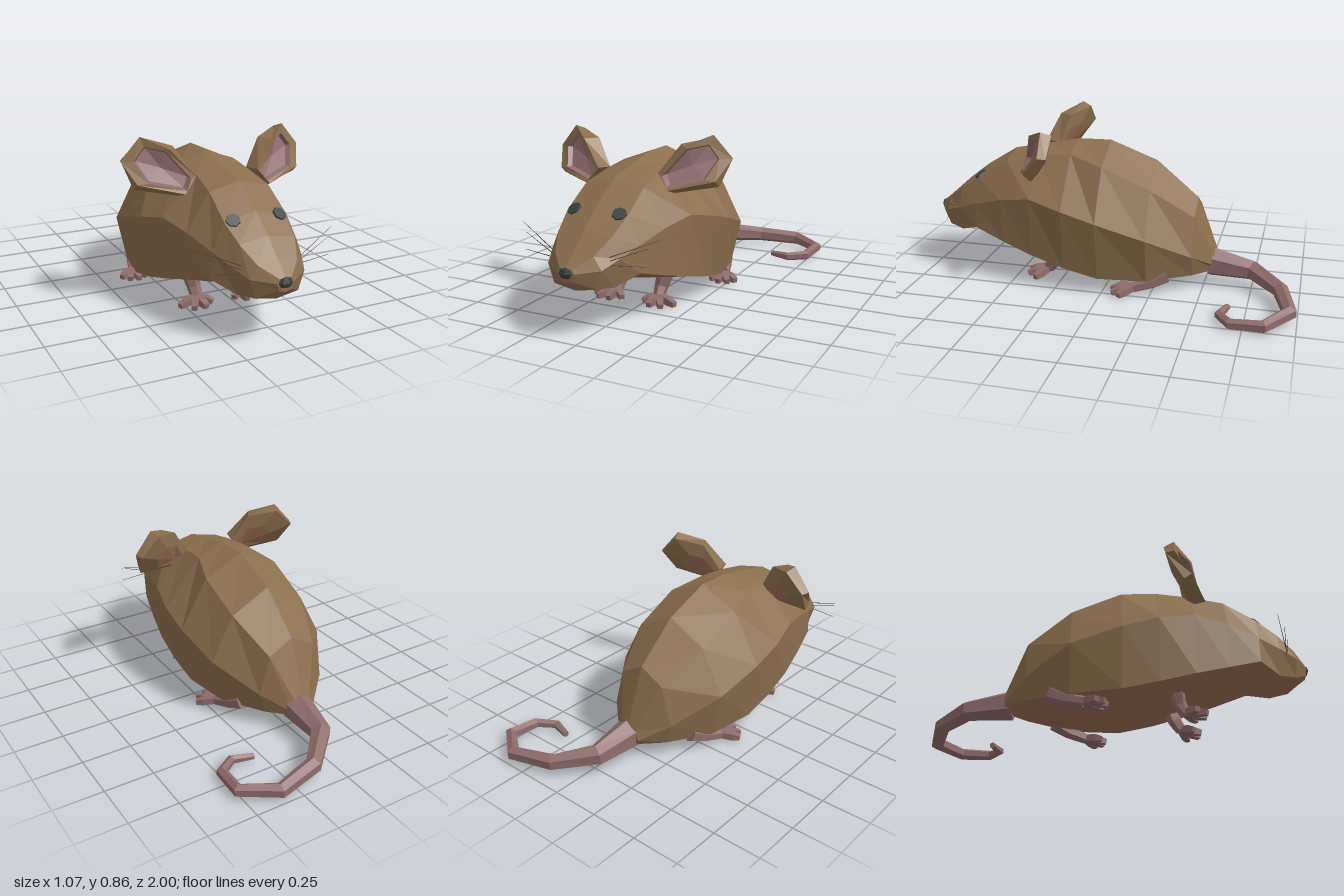
import * as THREE from 'three';

const mat = (name, color) => {
  const m = new THREE.MeshStandardMaterial({ color, flatShading: true });
  m.name = name;
  return m;
};
const V = (x, y, z) => new THREE.Vector3(x, y, z);

// Skin a list of equally long rings of points with quads
function loft(rings, closed = false) {
  const pos = [];
  for (let i = 0; i < rings.length - 1; i++) {
    const p = rings[i], q = rings[i + 1], n = p.length;
    for (let j = 0; j < (closed ? n : n - 1); j++) {
      const k = (j + 1) % n;
      for (const v of [p[j], p[k], q[k], p[j], q[k], q[j]]) pos.push(v.x, v.y, v.z);
    }
  }
  const g = new THREE.BufferGeometry();
  g.setAttribute('position', new THREE.Float32BufferAttribute(pos, 3));
  g.computeVertexNormals();
  return g;
}

// Faceted tapering tube through points, closed at both ends
function limb(points, radii, sides = 6) {
  const n = points.length;
  const axis = points[n - 1].clone().sub(points[0]).normalize();
  const ref = Math.abs(axis.y) > 0.75 ? V(0, 0, 1) : V(0, 1, 0);
  const rings = points.map((p, i) => {
    const t = points[Math.min(i + 1, n - 1)].clone().sub(points[Math.max(i - 1, 0)]).normalize();
    const side = ref.clone().cross(t).normalize();
    const up = t.clone().cross(side);
    return Array.from({ length: sides }, (_, j) => {
      const a = ((j + 0.5) / sides) * Math.PI * 2;
      return p.clone().addScaledVector(side, Math.cos(a) * radii[i]).addScaledVector(up, Math.sin(a) * radii[i]);
    });
  });
  rings.unshift(Array(sides).fill(points[0]));
  rings.push(Array(sides).fill(points[n - 1]));
  return loft(rings, true);
}

export function createModel() {
  const fur = mat('brown fur', 0x8b6f4e);
  const belly = mat('reddish fur', 0x9c6e57);
  const skin = mat('pink skin', 0x8f6d6b);
  const inner = mat('inner ear pink', 0x906d6e);
  const dark = mat('dark grey', 0x3a3f41);
  const hair = mat('whisker brown', 0x4f4244);

  const root = new THREE.Group();
  root.name = 'mouse';
  const body = new THREE.Group();
  body.name = 'mouseParts';
  body.position.x = -0.055;
  root.add(body);
  const add = (name, geo, m) => {
    const mesh = new THREE.Mesh(geo, m);
    mesh.name = name;
    body.add(mesh);
    return mesh;
  };

  // Body sections, nose to rump: z, top y, upper x y, middle x y, lower x y, bottom y
  const sections = [
    [0.98, 0.34, 0.03, 0.335, 0.045, 0.315, 0.03, 0.28, 0.27],
    [0.91, 0.40, 0.10, 0.385, 0.14, 0.325, 0.11, 0.235, 0.215],
    [0.82, 0.48, 0.14, 0.455, 0.18, 0.36, 0.15, 0.225, 0.20],
    [0.71, 0.565, 0.16, 0.53, 0.22, 0.40, 0.225, 0.27, 0.205],
    [0.55, 0.665, 0.155, 0.63, 0.27, 0.45, 0.265, 0.22, 0.185],
    [0.38, 0.70, 0.14, 0.67, 0.315, 0.48, 0.30, 0.17, 0.12],
    [0.20, 0.737, 0.15, 0.685, 0.355, 0.44, 0.315, 0.12, 0.07],
    [0.02, 0.74, 0.21, 0.645, 0.36, 0.39, 0.315, 0.08, 0.04],
    [-0.23, 0.645, 0.205, 0.54, 0.325, 0.31, 0.27, 0.07, 0.025],
    [-0.45, 0.46, 0.13, 0.39, 0.185, 0.19, 0.15, 0.08, 0.045],
    [-0.56, 0.17, 0.04, 0.155, 0.065, 0.11, 0.04, 0.08, 0.075],
  ];
  const back = sections.map(([z, t, ux, uy, mx, my, lx, ly]) => [
    V(-lx, ly, z), V(-mx, my, z), V(-ux, uy, z), V(0, t, z), V(ux, uy, z), V(mx, my, z), V(lx, ly, z),
  ]);
  const under = sections.map(([z, , , , , , lx, ly, b]) => [V(lx, ly, z), V(0, b, z), V(-lx, ly, z)]);
  for (const rings of [back, under]) {
    rings.unshift(Array(rings[0].length).fill(V(0, 0.31, 0.985)));
    rings.push(Array(rings[0].length).fill(V(0, 0.11, -0.56)));
  }
  add('body', loft(back), fur);
  add('belly', loft(under), belly);

  // Nose
  const nose = add('nose', new THREE.SphereGeometry(0.037, 7, 4), dark);
  nose.scale.set(1, 0.72, 0.6);
  nose.position.set(0, 0.315, 0.979);

  // Tail curling to the left
  add('tail', limb([
    V(0.015, 0.115, -0.53), V(0.03, 0.09, -0.75), V(0.185, 0.06, -0.905), V(0.405, 0.045, -0.963),
    V(0.562, 0.035, -0.85), V(0.55, 0.025, -0.69), V(0.46, 0.022, -0.63), V(0.355, 0.02, -0.66),
  ], [0.08, 0.054, 0.042, 0.037, 0.032, 0.027, 0.023, 0.016]), skin);

  // Ear loops: front rim, back rim, edge of the opening and its recessed floor
  const loop = (pts) => pts.map((p) => V(...p));
  const earFront = loop([
    [0.385, 0.855, 0.28], [0.275, 0.805, 0.38], [0.165, 0.675, 0.43],
    [0.225, 0.60, 0.45], [0.43, 0.645, 0.36], [0.48, 0.745, 0.27],
  ]);
  const earBack = loop([
    [0.365, 0.835, 0.23], [0.23, 0.805, 0.31], [0.145, 0.67, 0.35],
    [0.235, 0.58, 0.39], [0.435, 0.615, 0.32], [0.465, 0.74, 0.23],
  ]);
  const rim = loop([
    [0.372, 0.81, 0.30], [0.288, 0.793, 0.37], [0.187, 0.665, 0.427],
    [0.215, 0.614, 0.44], [0.382, 0.652, 0.375], [0.425, 0.745, 0.30],
  ]);
  const recess = rim.map((p) => p.clone().lerp(V(0.31, 0.71, 0.36), 0.1).add(V(-0.005, 0, -0.025)));
  const earRoot = V(0.215, 0.635, 0.35);
  const earFunnel = earBack.map((p) => p.clone().lerp(earRoot, 0.45).add(V(0, 0, -0.015)));
  const fill = (v) => Array(6).fill(v);

  for (const s of [1, -1]) {
    const side = s > 0 ? 'left' : 'right';
    const flip = (ring) => (s > 0 ? ring : ring.map((p) => V(-p.x, p.y, p.z)).reverse());
    const part = (name, geo, m) => add(side + name, geo, m);

    part('EarRim', loft([earFunnel, earBack, earFront, rim].map(flip), true), fur);
    part('EarInside', loft([rim, recess, fill(V(0.30, 0.71, 0.335))].map(flip), true), inner);
    part('EarBack', loft([fill(earRoot), earFunnel].map(flip), true), belly);

    // Eye: thin plate lying on the brow
    const eye = part('Eye', new THREE.CylinderGeometry(0.034, 0.036, 0.009, 7), dark);
    eye.position.set(s * 0.12, 0.537, 0.718);
    eye.quaternion.setFromUnitVectors(V(0, 1, 0), V(s * 0.19, 0.77, 0.6).normalize());

    // Whiskers
    [[0.365, 0.46, 0.78], [0.32, 0.425, 0.82], [0.32, 0.345, 0.83]].forEach(([x, y, z], i) =>
      part('Whisker' + (i + 1), limb([V(s * 0.15, 0.375 - i * 0.018, 0.86), V(s * x, y, z)], [0.0025, 0.001], 3), hair));

    // Legs with splayed toes
    const legs = [
      { name: 'Front', path: [[0.14, 0.16, 0.29], [0.12, 0.075, 0.31], [0.12, 0.03, 0.34]], r: [0.044, 0.036, 0.03],
        toes: [[0.06, 0.40], [0.115, 0.445], [0.18, 0.44], [0.23, 0.385]] },
      { name: 'Hind', path: [[0.2, 0.09, -0.32], [0.23, 0.055, -0.25], [0.26, 0.03, -0.16]], r: [0.045, 0.036, 0.03],
        toes: [[0.22, -0.07], [0.27, -0.045], [0.32, -0.06], [0.35, -0.1]] },
    ];
    for (const { name, path, r, toes } of legs) {
      const pts = path.map(([x, y, z]) => V(s * x, y, z));
      part(name + 'Leg', limb(pts, r), skin);
      toes.forEach(([x, z], i) => {
        const tip = V(s * x, 0.014, z);
        const knuckle = pts[2].clone().lerp(tip, 0.65).setY(0.022);
        part(name + 'Toe' + (i + 1), limb([pts[2], knuckle, tip], [0.022, 0.026, 0.018], 4), skin);
      });
    }
  }
  return root;
}
